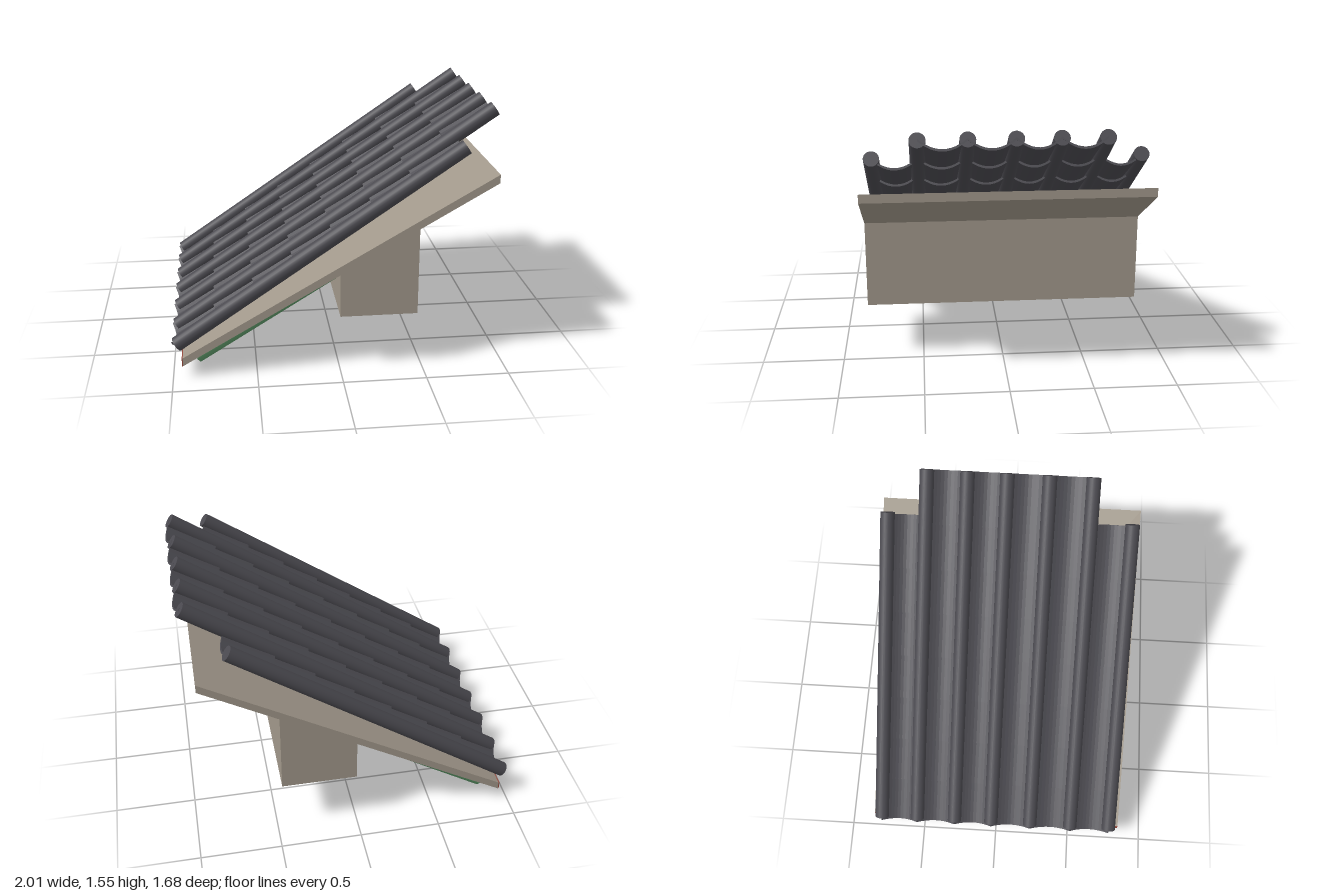
import * as THREE from 'three';

const material = (name, color, side = THREE.FrontSide) => {
  const m = new THREE.MeshStandardMaterial({ color, side });
  m.name = name;
  return m;
};

export function createModel() {
  const plaster = material('plaster', 0xa0978a);
  const clay = material('dark clay', 0x4a494f);
  const green = material('painted green', 0x5f9a6a);
  const red = material('painted red', 0x96493c);

  const model = new THREE.Group();
  model.name = 'tiledEave';
  const add = (name, geometry, mat, parent = model) => {
    const mesh = new THREE.Mesh(geometry, mat);
    mesh.name = name;
    parent.add(mesh);
    return mesh;
  };
  const group = (name) => {
    const g = new THREE.Group();
    g.name = name;
    model.add(g);
    return g;
  };

  // Side profile drawn in x, y and extruded across the full width in z
  const WIDTH = 1.68;
  const across = (points) => {
    const shape = new THREE.Shape(points.map(([x, y]) => new THREE.Vector2(x, y)));
    return new THREE.ExtrudeGeometry(shape, { depth: WIDTH, bevelEnabled: false }).translate(0, 0, -WIDTH / 2);
  };

  // Round bar between two points of the x, y plane, at depth z
  const bar = (name, [x0, y0], [x1, y1], z, r0, r1, mat, parent) => {
    const length = Math.hypot(x1 - x0, y1 - y0);
    const mesh = add(name, new THREE.CylinderGeometry(r1, r0, length, 24), mat, parent);
    mesh.position.set((x0 + x1) / 2, (y0 + y1) / 2, z);
    mesh.rotation.z = Math.atan2(y1 - y0, x1 - x0) - Math.PI / 2;
    return mesh;
  };

  // Sloping roof board, wall below it and the painted eave edge
  add('roofBoard', across([[-0.94, 0.078], [0.925, 1.153], [0.925, 1.205], [-0.94, 0.13]]), plaster);
  add('wall', across([[0, 0.352], [0.465, 0.352], [0.465, 0.888], [0, 0.622]]), plaster);
  const edge = add('eaveEdge', new THREE.BoxGeometry(0.006, 0.052, WIDTH), red);
  edge.position.set(-0.943, 0.104, 0);

  // Rafters under the board
  const rafters = group('rafters');
  for (const z of [0.635, 0.34, 0.095, -0.175, -0.425, -0.675]) {
    bar('rafter', [-0.865, 0.053], [-0.03, 0.565], z, 0.06, 0.055, green, rafters);
  }

  // Ridge tiles: long round rows, with the two outer rows shorter
  const ridgeZ = [0.77, 0.507, 0.233, -0.033, -0.283, -0.538, -0.78];
  const ridges = group('ridgeTiles');
  ridgeZ.forEach((z, i) => {
    const outer = i === 0 || i === ridgeZ.length - 1;
    bar('ridgeTile', [-0.975, 0.19], outer ? [0.737, 1.358] : [0.967, 1.515], z, 0.046, 0.046, clay, ridges);
  });

  // Curved pan tiles overlapping up the slope between the ridges
  const panGeometry = (width) => {
    const w = width / 2, sag = 0.06, t = 0.014;
    const shape = new THREE.Shape();
    shape.moveTo(-w, sag);
    shape.quadraticCurveTo(0, -sag, w, sag);
    shape.lineTo(w, sag + t);
    shape.quadraticCurveTo(0, -sag + t, -w, sag + t);
    return new THREE.ExtrudeGeometry(shape, { depth: 0.345, bevelEnabled: false, curveSegments: 12 })
      .rotateY(Math.PI / 2)
      .rotateZ(Math.PI / 6);
  };
  const pans = group('panTiles');
  for (let c = 0; c < ridgeZ.length - 1; c++) {
    const geometry = panGeometry(ridgeZ[c] - ridgeZ[c + 1]);
    const count = c === 0 || c === ridgeZ.length - 2 ? 7 : 8;
    for (let i = 0; i < count; i++) {
      const pan = add('panTile', geometry, clay, pans);
      pan.position.set(-0.97 + 0.239 * i, 0.138 + 0.164 * i, (ridgeZ[c] + ridgeZ[c + 1]) / 2);
    }
  }

  return model;
}
